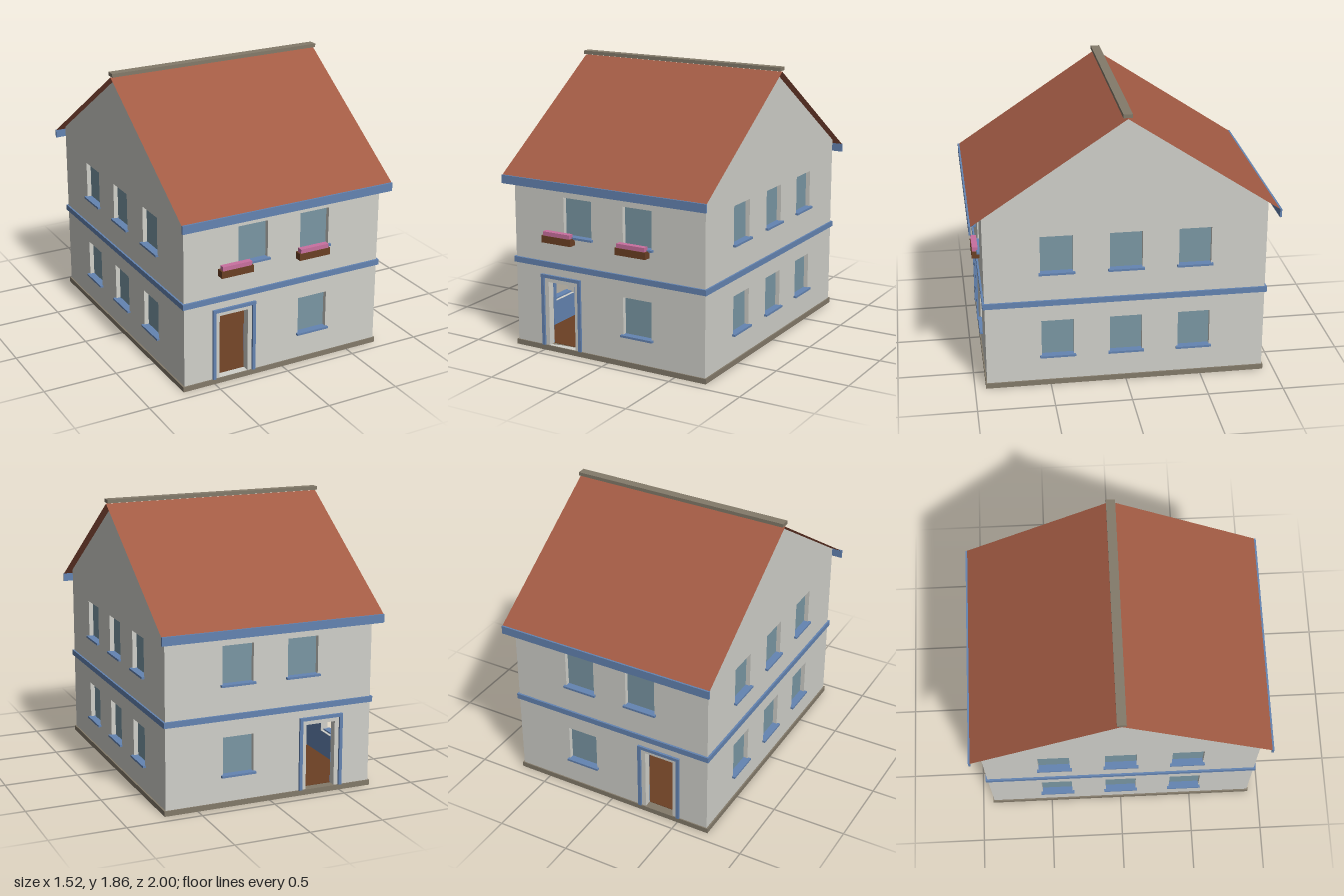
import * as THREE from 'three';

const mat = (name, color, side = THREE.FrontSide) => {
  const m = new THREE.MeshStandardMaterial({ color, side });
  m.name = name;
  return m;
};

const W = 0.715, D = 0.92, T = 0.05;         // half width, half depth, wall thickness
const EAVE = 1.216, APEX = 1.824;

export function createModel() {
  const house = new THREE.Group();
  house.name = 'house';
  const plaster = mat('plaster', 0xd0d0ca);
  const trim = mat('blueTrim', 0x6484b2, THREE.DoubleSide);
  const glass = mat('windowGlass', 0x7a97a4);
  const tile = mat('roofTile', 0xa25b44, THREE.DoubleSide);
  const stone = mat('stone', 0x837a6a);
  const wood = mat('wood', 0x6b4024);
  const pink = mat('flowerPink', 0xc9709f);

  // box given by its limits on each axis
  const box = (name, m, x0, x1, y0, y1, z0, z1, parent = house) => {
    const b = new THREE.Mesh(new THREE.BoxGeometry(x1 - x0, y1 - y0, z1 - z0), m);
    b.position.set((x0 + x1) / 2, (y0 + y1) / 2, (z0 + z1) / 2);
    b.name = name;
    parent.add(b);
    return b;
  };
  const rect = (x0, x1, y0, y1) => new THREE.Path([
    new THREE.Vector2(x0, y0), new THREE.Vector2(x0, y1),
    new THREE.Vector2(x1, y1), new THREE.Vector2(x1, y0)]);

  // one wall facing local +z, with its outer face on z = 0
  function wall(name, outline, windows, door) {
    const g = new THREE.Group();
    g.name = name;
    const shape = new THREE.Shape(outline.map(p => new THREE.Vector2(...p)));
    for (const [x, y] of windows) {
      shape.holes.push(rect(x - 0.106, x + 0.106, y, y + 0.26));
      const pane = new THREE.Mesh(new THREE.PlaneGeometry(0.212, 0.26), glass);
      pane.position.set(x, y + 0.13, -0.03);
      pane.name = 'windowPane';
      g.add(pane);
      box('windowSill', trim, x - 0.118, x + 0.118, y - 0.004, y + 0.01, -0.03, 0.02, g);
    }
    if (door !== undefined) {
      shape.holes.push(rect(door - 0.102, door + 0.102, 0.035, 0.473));
      for (const s of [-1, 1]) {
        const x = door + s * 0.143;
        box('doorJamb', trim, x - 0.011, x + 0.011, 0.035, 0.525, 0, 0.014, g);
      }
      box('doorHead', trim, door - 0.154, door + 0.154, 0.503, 0.525, 0, 0.015, g);
    }
    const body = new THREE.Mesh(
      new THREE.ExtrudeGeometry(shape, { depth: T, bevelEnabled: false }), plaster);
    body.position.z = -T;
    body.name = 'wallBody';
    // painted inner face
    const lining = new THREE.Mesh(new THREE.ShapeGeometry(shape), trim);
    lining.position.z = -T - 0.003;
    lining.name = 'innerLining';
    g.add(body, lining);
    house.add(g);
    return g;
  }

  // long walls, with a door opposite a door
  const LOW = 0.205, HIGH = 0.8, DOOR = -0.36;
  const longOutline = [[-W, 0.01], [W, 0.01], [W, EAVE], [-W, EAVE]];
  for (const s of [1, -1]) {
    const g = wall(s > 0 ? 'frontWall' : 'backWall', longOutline,
      [[-0.225 * s, HIGH], [0.225 * s, HIGH], [0.222 * s, LOW]], DOOR * s);
    g.position.z = D * s;
    g.rotation.y = s > 0 ? 0 : Math.PI;
  }

  // gable walls
  const e = D - 0.001;
  const gableOutline = [[-e, 0.01], [e, 0.01], [e, EAVE], [0, APEX], [-e, EAVE]];
  const gableWindows = [-0.45, 0, 0.45].flatMap(z => [[z, LOW], [z, HIGH]]);
  for (const s of [1, -1]) {
    const g = wall(s > 0 ? 'leftGable' : 'rightGable', gableOutline, gableWindows);
    g.position.x = W * s;
    g.rotation.y = s * Math.PI / 2;
  }

  // plinth, floors and the belt between storeys
  box('plinth', stone, -0.725, 0.725, 0, 0.035, -0.928, 0.928);
  box('groundFloor', wood, -W + T, W - T, 0.03, 0.038, -D + T, D - T);
  box('ceiling', plaster, -W + T, W - T, 0.575, 0.61, -D + T, D - T);
  for (const s of [-1, 1]) {
    box('beltLong', trim, -0.727, 0.727, 0.577, 0.615, s * 0.925 - 0.008, s * 0.925 + 0.008);
    box('beltSide', trim, s * 0.719 - 0.008, s * 0.719 + 0.008, 0.577, 0.615, -0.93, 0.93);
  }

  // thin roof slopes, fascias and ridge cap
  const roofTop = 1.834, roofLow = 1.176, run = 0.988;
  for (const s of [-1, 1]) {
    const slope = new THREE.Mesh(
      new THREE.PlaneGeometry(1.52, Math.hypot(run, roofTop - roofLow)), tile);
    slope.position.set(0, (roofTop + roofLow) / 2, s * run / 2);
    slope.rotation.order = 'YXZ';
    slope.rotation.y = s > 0 ? 0 : Math.PI;
    slope.rotation.x = -Math.atan2(run, roofTop - roofLow);
    slope.name = 'roofSlope';
    house.add(slope);
    box('fascia', trim, -0.76, 0.76, 1.12, 1.176, s * 0.9935 - 0.0065, s * 0.9935 + 0.0065);
  }
  box('ridgeCap', stone, -0.76, 0.76, 1.84, 1.864, -0.03, 0.03);

  // flower boxes on the front
  for (const x of [-0.361, 0.203]) {
    box('flowerBox', wood, x - 0.113, x + 0.113, 0.755, 0.802, D, 0.972);
    box('flowers', pink, x - 0.103, x + 0.103, 0.802, 0.83, 0.93, 0.968);
  }
  return house;
}
